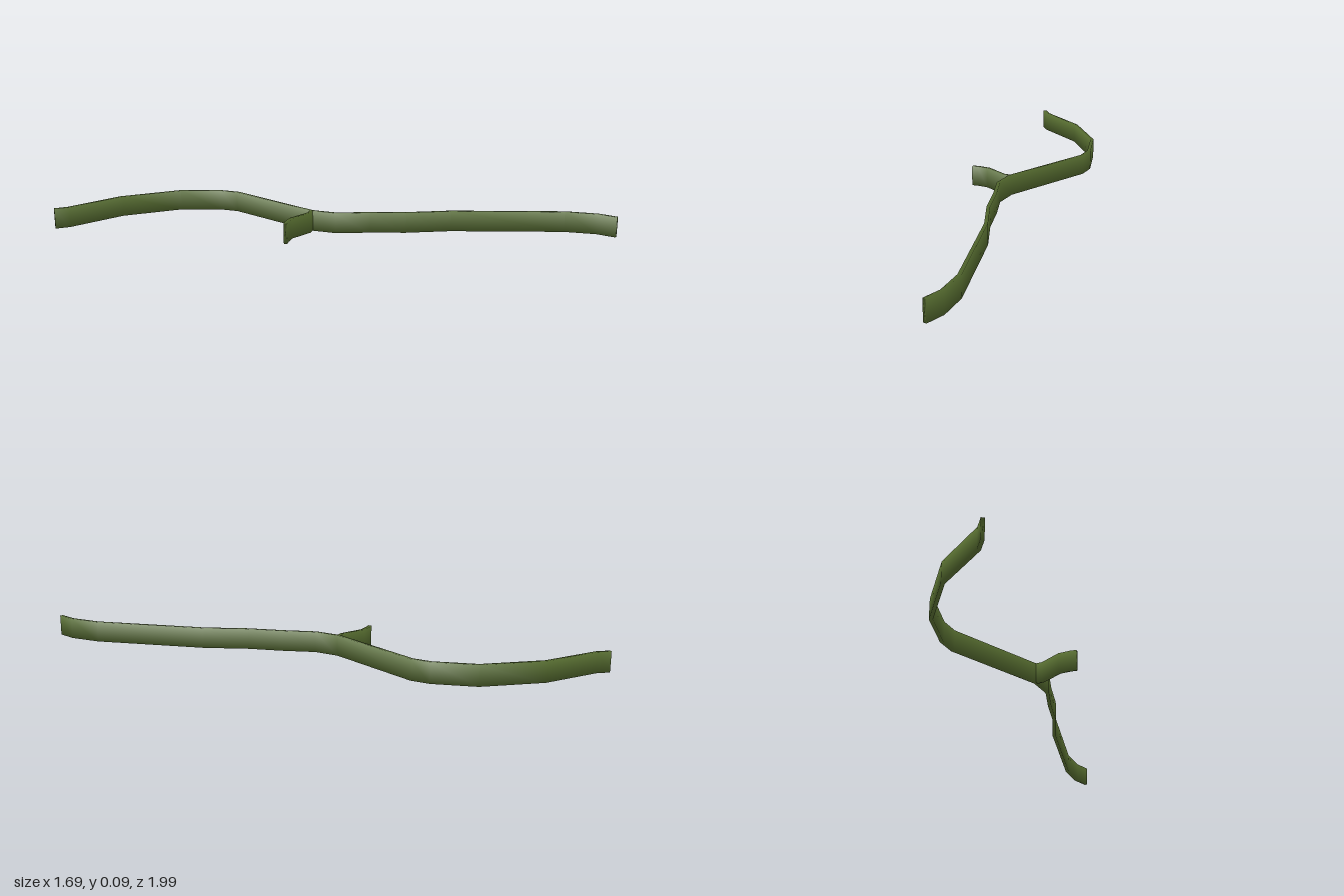
import * as THREE from 'three';

const HEIGHT = 0.095;
const HALF = 0.008;

// Rectangular strip standing on the ground, mitred along a plan path of [x, z] points
function ribbonWall(name, path, material) {
  const pts = path.map(([x, z]) => new THREE.Vector2(x, z));
  const dirs = pts.slice(1).map((p, i) => p.clone().sub(pts[i]).normalize());
  const position = [], normal = [], index = [];
  const corners = [[-1, 0], [1, 0], [1, 1], [-1, 1]];

  pts.forEach((p, i) => {
    const a = dirs[Math.max(i - 1, 0)];
    const b = dirs[Math.min(i, dirs.length - 1)];
    const d = a.clone().add(b).normalize();
    const w = HALF / d.dot(a); // mitre keeps the thickness even round bends
    for (const [side, top] of corners) {
      position.push(p.x + d.y * side * w, top * HEIGHT, p.y - d.x * side * w);
      // soft normals round the long edges
      const n = new THREE.Vector3(d.y * side, top * 2 - 1, -d.x * side).normalize();
      normal.push(n.x, n.y, n.z);
    }
  });

  for (let i = 0; i < dirs.length; i++) {
    for (let k = 0; k < 4; k++) {
      const a = i * 4 + k, b = i * 4 + (k + 1) % 4;
      index.push(a, b, b + 4, a, b + 4, a + 4);
    }
  }
  // end caps
  const e = dirs.length * 4;
  index.push(0, 2, 1, 0, 3, 2, e, e + 1, e + 2, e, e + 2, e + 3);

  const geometry = new THREE.BufferGeometry();
  geometry.setAttribute('position', new THREE.Float32BufferAttribute(position, 3));
  geometry.setAttribute('normal', new THREE.Float32BufferAttribute(normal, 3));
  geometry.setIndex(index);
  const mesh = new THREE.Mesh(geometry, material);
  mesh.name = name;
  return mesh;
}

export function createModel() {
  const group = new THREE.Group();
  group.name = 'hedgeWall';
  const olive = new THREE.MeshStandardMaterial({ color: 0x556b2f });
  olive.name = 'olive green';

  // long winding wall
  group.add(ribbonWall('mainWall', [
    [0.84, -0.992], [0.755, -0.96], [0.64, -0.867], [0.31, -0.452], [0.203, -0.272],
    [0.1, -0.14], [0.013, -0.013], [-0.087, 0.053], [-0.553, 0.159], [-0.627, 0.209],
    [-0.75, 0.368], [-0.83, 0.65], [-0.82, 0.929], [-0.838, 0.992],
  ], olive));

  // short spur leaving the main wall
  group.add(ribbonWall('branchWall', [
    [-0.087, 0.053], [-0.066, 0.082], [-0.048, 0.198], [-0.018, 0.243], [0.003, 0.265],
  ], olive));

  return group;
}
